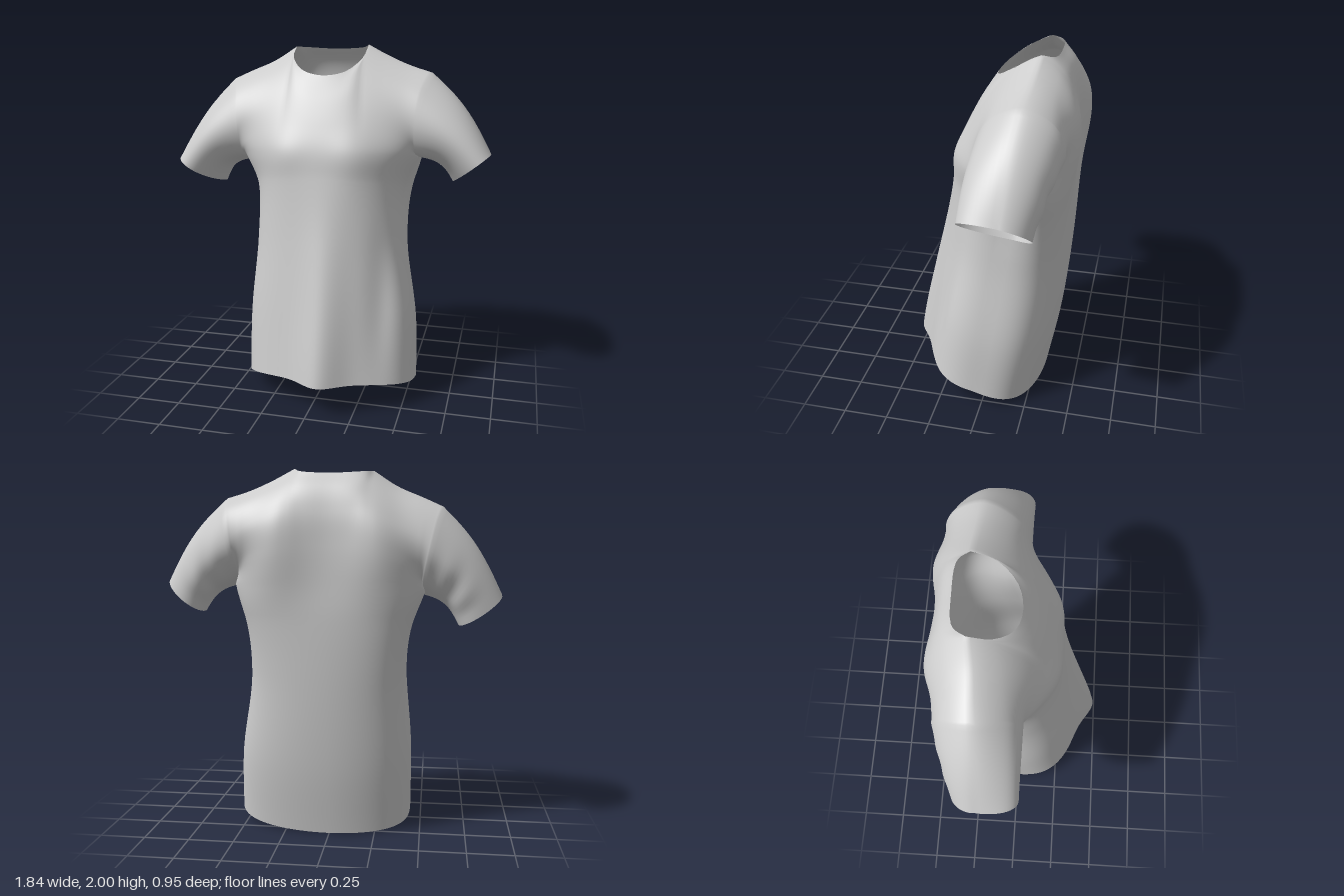
import * as THREE from 'three';
import { mergeVertices } from 'three/addons/utils/BufferGeometryUtils.js';

const COLS = 60, HALF = 28, ROWS = HALF * 2, ALONG = 18;
const NECK = 0.3; // share of the panel width taken by the neck opening

const spline = (pts) => new THREE.CatmullRomCurve3(pts.map((p) => new THREE.Vector3(...p)));
const bell = (x, centre, width) => Math.exp(-(((x - centre) / width) ** 2));
const { smoothstep, lerp } = THREE.MathUtils;

// Side seams, and armholes running from the armpit over the front and shoulder to the back
const sides = {
  right: {
    seam: spline([[-0.44, 0.07, 0.05], [-0.44, 0.45, 0], [-0.41, 0.9, -0.07], [-0.42, 1.17, -0.12], [-0.5, 1.33, -0.15]]),
    armhole: spline([[-0.5, 1.33, -0.15], [-0.51, 1.39, -0.02], [-0.52, 1.54, 0.04], [-0.55, 1.71, -0.03], [-0.6, 1.8, -0.2],
      [-0.57, 1.72, -0.35], [-0.53, 1.55, -0.41], [-0.5, 1.4, -0.31], [-0.5, 1.33, -0.15]]),
  },
  left: {
    seam: spline([[0.55, 0.11, 0.05], [0.53, 0.45, 0], [0.45, 0.9, -0.07], [0.44, 1.2, -0.12], [0.51, 1.38, -0.15]]),
    armhole: spline([[0.51, 1.38, -0.15], [0.5, 1.43, -0.02], [0.5, 1.57, 0.03], [0.52, 1.75, -0.04], [0.56, 1.85, -0.22],
      [0.54, 1.77, -0.38], [0.51, 1.6, -0.43], [0.49, 1.44, -0.32], [0.51, 1.38, -0.15]]),
  },
};

// Edge of a panel: side seam below the armpit, half the armhole above it
function sideEdge(side, name, v) {
  if (v <= 0.5) return side.seam.getPoint(v * 2);
  return side.armhole.getPoint(name === 'front' ? v - 0.5 : 1.5 - v);
}

// Shoulder lines run from the armhole to the neck
const shoulders = {
  right: spline([[-0.6, 1.8, -0.2], [-0.5, 1.845, -0.21], [-0.36, 1.905, -0.22], [-0.235, 1.985, -0.24]]),
  left: spline([[0.56, 1.85, -0.22], [0.43, 1.89, -0.23], [0.31, 1.94, -0.24], [0.19, 2, -0.25]]),
};

// Centre lines and neck edges of the two panels
const panels = {
  front: {
    middle: spline([[0.05, 0.18, 0.39], [0.04, 0.55, 0.335], [0.02, 0.95, 0.28], [0, 1.3, 0.235], [0, 1.45, 0.21],
      [0, 1.58, 0.16], [-0.01, 1.7, 0.1], [-0.02, 1.78, 0.05], [-0.02, 1.84, 0.01]]),
    neck: spline([[-0.235, 1.985, -0.24], [-0.22, 1.93, -0.12], [-0.14, 1.865, -0.02], [-0.02, 1.84, 0.01],
      [0.1, 1.86, -0.02], [0.18, 1.93, -0.12], [0.19, 2, -0.25]]),
    power: 0.8,
  },
  back: {
    middle: spline([[0, 0.003, -0.31], [0, 0.4, -0.38], [0, 0.85, -0.425], [0, 1.2, -0.44], [0, 1.4, -0.435],
      [0, 1.6, -0.43], [0, 1.76, -0.42], [-0.01, 1.89, -0.385], [-0.02, 1.972, -0.325]]),
    neck: spline([[-0.235, 1.985, -0.24], [-0.19, 1.98, -0.305], [-0.02, 1.972, -0.325], [0.15, 1.982, -0.31], [0.19, 2, -0.25]]),
    power: 0.6,
  },
};

// Soft cloth folds, pushed along z
function folds(name, x, v) {
  if (name === 'front') {
    const drape = 0.09 * bell(x, 0.06, 0.13) * (1 - smoothstep(v, 0, 0.4));
    const hollow = -0.025 * bell(x, 0.36 + 0.1 * (0.25 - v), 0.07) * bell(v, 0.16, 0.12);
    const chest = 0.02 * (bell(x, 0.2, 0.12) + bell(x, -0.2, 0.12)) * bell(v, 0.48, 0.12);
    return drape + hollow + chest;
  }
  return -0.06 * (bell(x, 0.28, 0.17) + bell(x, -0.28, 0.17)) * bell(v, 0.64, 0.22);
}

// Upper edge of a panel: shoulder, neck, shoulder
function topEdge(panel, u) {
  if (Math.abs(u) <= NECK + 1e-6) return panel.neck.getPoint(Math.min(1, Math.max(0, (u / NECK + 1) / 2)));
  return shoulders[u < 0 ? 'right' : 'left'].getPoint((1 - Math.abs(u)) / (1 - NECK));
}

// A point of the front or back panel; u runs across, v runs up
function panelPoint(name, u, v) {
  const panel = panels[name];
  const side = sides[u < 0 ? 'right' : 'left'];
  const power = lerp(panel.power, 1.3 * panel.power, smoothstep(v, 0.5, 0.8));
  const s = Math.sin((Math.abs(u) * Math.PI) / 2);
  const c = Math.abs(u) === 1 ? 0 : Math.cos((u * Math.PI) / 2) ** power;
  const base = (w) => {
    const e = sideEdge(side, name, w), m = panel.middle.getPoint(w);
    return new THREE.Vector3(lerp(m.x, e.x, s), lerp(e.y, m.y, c), lerp(e.z, m.z, c));
  };
  const p = base(v);
  // Folds fade out at the panel's sides and upper edge
  p.z += folds(name, p.x, v) * Math.min(1, c * 2.5) * (1 - smoothstep(v, 0.8, 1));
  // The back flares out below the armpits
  if (name === 'back') p.x += Math.sign(u) * 0.1 * s * s * c * bell(v, 0.4, 0.12);
  // Round the panel over to the shoulder and neck
  if (v > 0.5) {
    const t = v * 2 - 1, rise = topEdge(panel, u).sub(base(1));
    p.x += rise.x * t ** 1.5;
    p.y += rise.y * smoothstep(t, 0, 1);
    p.z += rise.z * t ** 1.8;
  }
  return p;
}

// Tilted oval cuffs: centre, then half axes to the top, front and back
const cuffs = {
  right: [[-0.805, 1.252, -0.2], [-0.115, 0.078, 0.02], [-0.025, 0.035, 0.235], [-0.01, -0.015, -0.12]],
  left: [[0.805, 1.322, -0.2], [0.105, 0.086, 0.02], [0.025, 0.04, 0.23], [0.01, -0.015, -0.125]],
};

// A point of a sleeve; k runs around from the armpit over the front, s runs to the cuff
function sleevePoint(name, k, s) {
  const [centre, up, front, back] = cuffs[name].map((a) => new THREE.Vector3(...a));
  const angle = (k / HALF) * Math.PI;
  const end = centre.addScaledVector(up, -Math.cos(angle))
    .addScaledVector(k <= HALF ? front : back, Math.abs(Math.sin(angle)));
  const p = sides[name].armhole.getPoint(k / HALF / 2).lerp(end, s);
  const swell = Math.sin(Math.PI * s);
  p.x += (name === 'left' ? 0.02 : -0.02) * swell;
  p.y += 0.03 * swell;
  // Small creases behind the armpit
  p.z += 0.007 * Math.sin(s * 16) * swell * bell(k / HALF, 1.65, 0.22);
  return p;
}

export function createModel() {
  const cloth = new THREE.MeshStandardMaterial({ color: 0xcccccc, side: THREE.DoubleSide });
  const positions = [], index = [], parts = [];

  // Adds a grid of quads; flip reverses the corner order
  const addGrid = (name, nu, nv, point, flip) => {
    const first = positions.length / 3, start = index.length;
    for (let j = 0; j <= nv; j++) {
      for (let i = 0; i <= nu; i++) positions.push(...point(i, j).toArray());
    }
    for (let j = 0; j < nv; j++) {
      for (let i = 0; i < nu; i++) {
        const a = first + j * (nu + 1) + i, b = a + 1, c = b + nu + 1, d = a + nu + 1;
        index.push(...(flip ? [a, c, b, a, d, c] : [a, b, c, a, c, d]));
      }
    }
    parts.push({ name, start, end: index.length });
  };

  for (const name of ['front', 'back']) {
    addGrid(`${name}Panel`, COLS, ROWS, (i, j) => panelPoint(name, (2 * i - COLS) / COLS, j / ROWS), name === 'back');
  }
  for (const name of ['left', 'right']) {
    addGrid(`${name}Sleeve`, HALF * 2, ALONG, (k, j) => sleevePoint(name, k, j / ALONG), name === 'left');
  }

  // Weld the seams so the shading runs smoothly across all parts
  let whole = new THREE.BufferGeometry();
  whole.setAttribute('position', new THREE.Float32BufferAttribute(positions, 3));
  whole.setIndex(index);
  whole = mergeVertices(whole, 1e-4);
  whole.computeVertexNormals();

  const shirt = new THREE.Group();
  shirt.name = 'shirt';
  for (const { name, start, end } of parts) {
    const geometry = new THREE.BufferGeometry();
    geometry.setAttribute('position', whole.getAttribute('position'));
    geometry.setAttribute('normal', whole.getAttribute('normal'));
    geometry.setIndex(Array.from(whole.index.array.slice(start, end)));
    const mesh = new THREE.Mesh(geometry, cloth);
    mesh.name = name;
    shirt.add(mesh);
  }
  return shirt;
}
